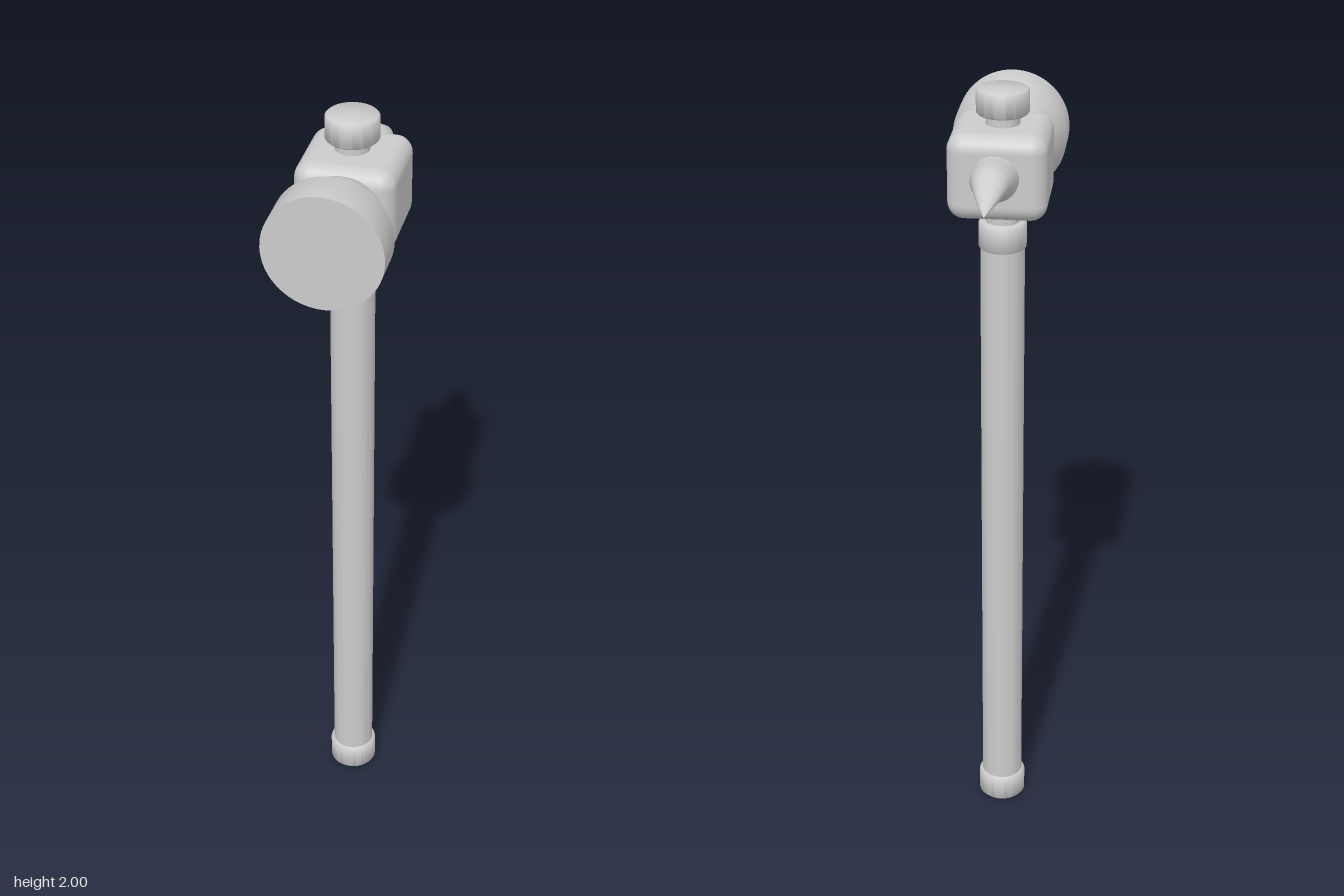
import * as THREE from 'three';
import { mergeVertices, toCreasedNormals } from 'three/addons/utils/BufferGeometryUtils.js';
import { RoundedBoxGeometry } from 'three/addons/geometries/RoundedBoxGeometry.js';

const HEAD_Y = 1.816;
const SHAFT_X = -0.006, SHAFT_Z = 0.014;

export function createModel() {
  const group = new THREE.Group();
  group.name = 'warHammer';
  const material = new THREE.MeshStandardMaterial({ color: 0xcccccc });

  const add = (name, geometry, x = 0, y = 0, z = 0) => {
    const mesh = new THREE.Mesh(geometry, material);
    mesh.name = name;
    mesh.position.set(x, y, z);
    group.add(mesh);
    return mesh;
  };

  // Turned solid from [radius, height] pairs, smooth round the axis, sharp at rims
  const turned = (profile) => toCreasedNormals(
    new THREE.LatheGeometry(profile.map(([r, y]) => new THREE.Vector2(r, y)), 64), 0.9);

  // Solid ring or cap with slightly eased rims
  const band = (r, y0, y1, e = 0.005) => turned([
    [0, y0], [r - e, y0], [r, y0 + e], [r, y1 - e], [r - e, y1], [0, y1],
  ]);

  // Handle and its fittings
  const onShaft = (name, geometry) => add(name, geometry, SHAFT_X, 0, SHAFT_Z);
  onShaft('handle', turned([[0, 0.04], [0.053, 0.04], [0.053, 1.64], [0, 1.64]]));
  onShaft('pommel', band(0.0615, 0, 0.075, 0.008));
  onShaft('collar', band(0.057, 1.615, 1.682));
  onShaft('neck', turned([[0, 1.63], [0.04, 1.63], [0.04, 1.96], [0, 1.96]]));
  onShaft('topCap', band(0.0615, 1.942, 2, 0.004));

  // Head block
  add('headBlock', new RoundedBoxGeometry(0.232, 0.204, 0.232, 6, 0.04), -0.002, HEAD_Y, 0.016);

  // Striking face: tapered neck flaring to a flat drum
  const face = add('strikingFace', turned([
    [0, 0.09], [0.07, 0.09], [0.094, 0.133], [0.138, 0.218], [0.138, 0.31], [0, 0.31],
  ]), 0, HEAD_Y, 0);
  face.rotation.x = Math.PI / 2;

  add('spike', spikeGeometry());
  return group;
}

// Curved spike: elliptical sections given as [z, half width, top, bottom]
function spikeGeometry() {
  const sections = [
    [-0.08, 0.056, 1.877, 1.770],
    [-0.12, 0.0545, 1.877, 1.774],
    [-0.16, 0.049, 1.880, 1.791],
    [-0.19, 0.042, 1.877, 1.803],
    [-0.22, 0.034, 1.862, 1.809],
    [-0.25, 0.0245, 1.845, 1.811],
    [-0.28, 0.013, 1.828, 1.811],
    [-0.31, 0.0003, 1.811, 1.8105],
  ];
  const widths = new THREE.CatmullRomCurve3(sections.map(([z, w]) => new THREE.Vector3(w, 0, z)));
  const heights = new THREE.CatmullRomCurve3(sections.map(([z, , t, b]) => new THREE.Vector3(t, b, z)));

  const geometry = new THREE.CylinderGeometry(1, 1, 1, 40, 28, true);
  const pos = geometry.attributes.position;
  for (let i = 0; i < pos.count; i++) {
    const t = THREE.MathUtils.clamp(pos.getY(i) + 0.5, 0, 1);
    const w = widths.getPoint(t).x;
    const { x: top, y: bottom, z } = heights.getPoint(t);
    const x = pos.getX(i) * w;
    const y = (top + bottom) / 2 + pos.getZ(i) * (top - bottom) / 2;
    pos.setXYZ(i, x, y, z);
  }
  // Weld the seam so the surface shades smoothly all round
  geometry.deleteAttribute('uv');
  geometry.deleteAttribute('normal');
  const welded = mergeVertices(geometry, 1e-5);
  welded.computeVertexNormals();
  return welded;
}
